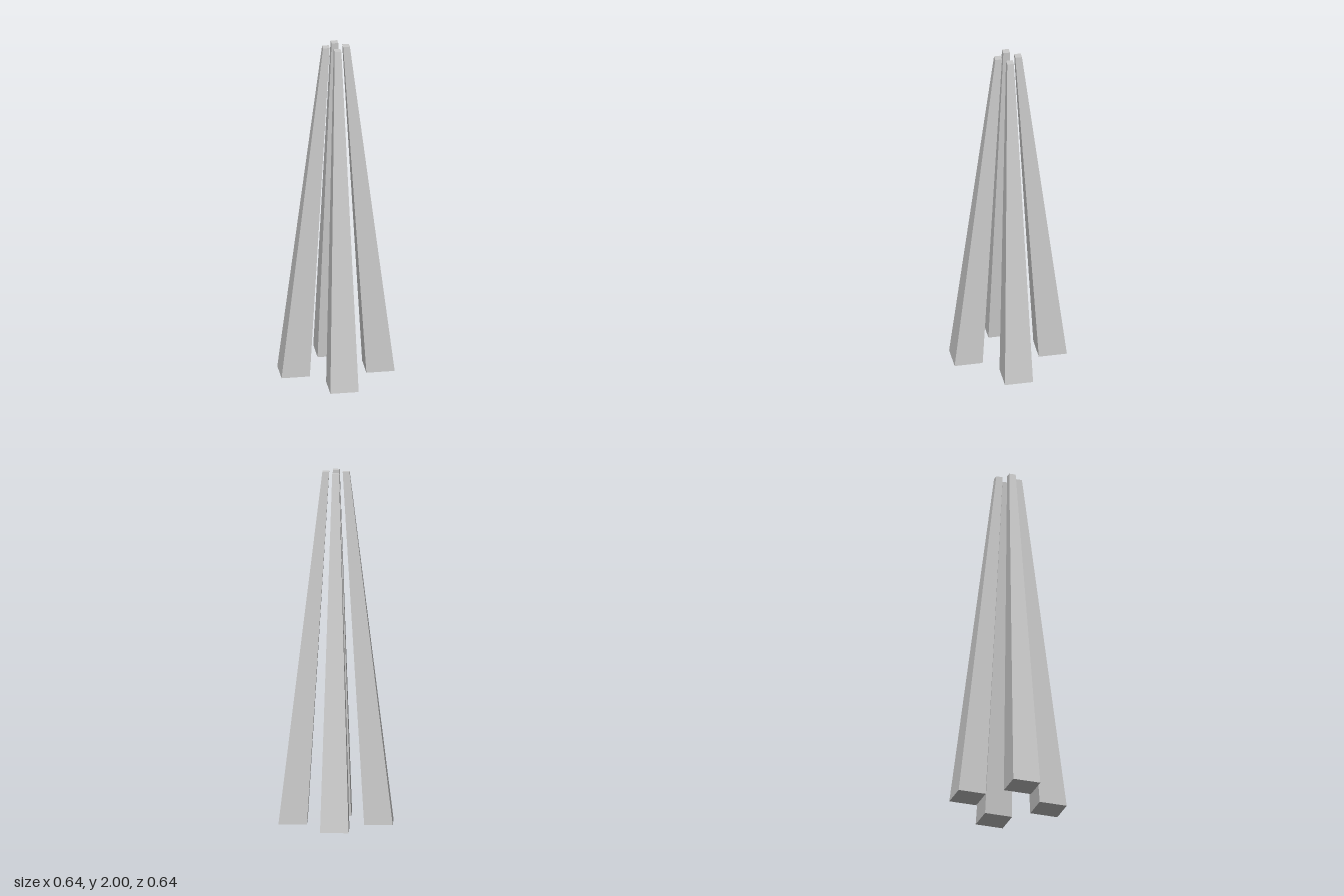
import * as THREE from 'three';

const HEIGHT = 2;
const FOOT = 0.16; // square foot size
const TOP_SCALE = 0.2375; // top section relative to the foot

// Square leg whose section shrinks towards the central axis as it rises
function taperedLegGeometry() {
  const geometry = new THREE.BoxGeometry(FOOT, HEIGHT, FOOT);
  geometry.translate(0, HEIGHT / 2, FOOT * 1.5);
  const p = geometry.attributes.position;
  for (let i = 0; i < p.count; i++) {
    const s = THREE.MathUtils.lerp(1, TOP_SCALE, p.getY(i) / HEIGHT);
    p.setX(i, p.getX(i) * s);
    p.setZ(i, p.getZ(i) * s);
  }
  geometry.computeVertexNormals();
  return geometry;
}

export function createModel() {
  const model = new THREE.Group();
  model.name = 'fourLeggedTower';
  const material = new THREE.MeshStandardMaterial({ color: 0xcccccc, flatShading: true });
  const geometry = taperedLegGeometry();

  // Four identical legs, a quarter turn apart
  ['frontLeg', 'leftLeg', 'backLeg', 'rightLeg'].forEach((name, i) => {
    const leg = new THREE.Mesh(geometry, material);
    leg.name = name;
    leg.rotation.y = (i * Math.PI) / 2;
    model.add(leg);
  });
  return model;
}
